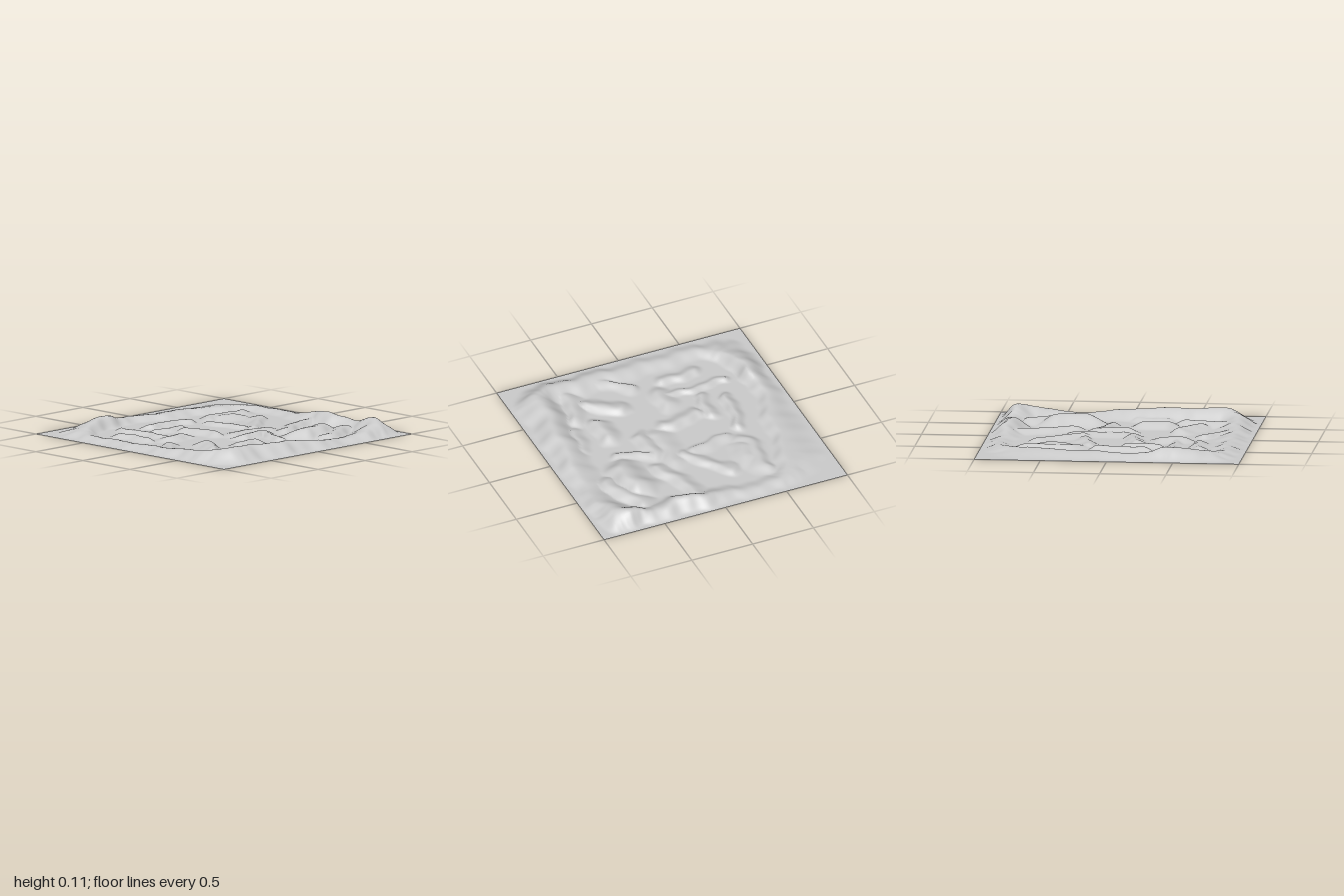
import * as THREE from 'three';

// Crest of the rim as x, height, z: along the front, up the right, across the back, down the left
const rimCrest = [
  -0.82, 0.07, 0.6, -0.74, 0.1, 0.77, -0.45, 0.09, 0.8, -0.2, 0.085, 0.83, 0.05, 0.065, 0.85,
  0.4, 0.03, 0.87, 0.78, 0.09, 0.83, 0.87, 0.11, 0.72, 0.87, 0.055, 0.52, 0.86, 0.09, 0.25,
  0.87, 0.03, -0.1, 0.86, 0.03, -0.5, 0.6, 0.04, -0.67, 0.1, 0.04, -0.77, -0.3, 0.05, -0.85,
  -0.45, 0.09, -0.81, -0.8, 0.04, -0.7, -0.85, 0.03, -0.1,
];

// Inner hills: height, reach, then the x, z points of the crest; the steep face is on the right
const backHills = [
  [0.03, 0.1, -0.61, -0.2, -0.63, -0.47],
  [0.025, 0.07, -0.43, -0.15, -0.45, -0.62],
  [0.035, 0.14, -0.48, -0.09, -0.34, -0.09],
  [0.035, 0.09, -0.24, -0.55, 0.1, -0.49],
  [0.03, 0.09, -0.34, -0.37, -0.1, -0.36],
  [0.035, 0.12, -0.09, 0, -0.13, -0.27],
  [0.025, 0.1, 0.2, -0.36, 0.24, -0.08],
  [0.033, 0.15, 0.66, -0.48, 0.3, -0.48],
  [0.035, 0.2, 0.4, -0.4, 0.5, -0.38],
  [0.03, 0.11, 0.3, 0.02, 0.5, -0.12, 0.6, -0.24],
];
const frontHills = [
  [0.025, 0.15, 0, 0.12, 0.32, 0.12],
  [0.035, 0.12, -0.05, 0.24, 0.18, 0.24],
  [0.03, 0.1, 0.16, 0.28, 0.11, 0.48],
  [0.03, 0.1, -0.64, 0.05, -0.78, 0.24],
  [0.04, 0.12, -0.57, 0.46, -0.41, 0.22],
  [0.04, 0.13, -0.72, 0.55, -0.44, 0.6],
  [0.045, 0.14, -0.3, 0.48, -0.12, 0.48],
  [0.03, 0.1, -0.31, 0.68, -0.08, 0.72],
  [0.035, 0.12, 0.36, 0.28, 0.78, 0.12],
  [0.08, 0.23, 0.3, 0.57, 0.52, 0.52],
  [0.045, 0.16, 0.4, 0.72, 0.72, 0.57],
];

const { clamp, lerp } = THREE.MathUtils;
const ease = (t) => t * t * (3 - 2 * t);

// Rim: the outer slope runs to the border, the inner slope is steeper at the back
function makeRim() {
  const points = [];
  for (let i = 0; i < rimCrest.length; i += 3) points.push(new THREE.Vector3().fromArray(rimCrest, i));
  return new THREE.CatmullRomCurve3(points, true).getPoints(72).map((p) => ({
    x: p.x, z: p.z, height: p.y,
    left: 0.14 + 0.06 * p.z,
    right: 0.98 - Math.max(Math.abs(p.x), Math.abs(p.z)),
  }));
}

// Hill: one long slope and one steep face
function makeHill([height, reach, ...xz]) {
  const line = [];
  for (let i = 0; i < xz.length; i += 2) {
    line.push({ x: xz[i], z: xz[i + 1], height, left: reach, right: reach * 0.6 });
  }
  return line;
}

// Height at (x, z) of the stretch of ridge between points a and b
function slope(x, z, a, b) {
  const dx = b.x - a.x, dz = b.z - a.z;
  const px = x - a.x, pz = z - a.z;
  const length = Math.hypot(dx, dz);
  const t = clamp((px * dx + pz * dz) / (length * length), 0, 1);
  const d = Math.hypot(px - t * dx, pz - t * dz);
  const side = (dx * pz - dz * px) / (length * Math.max(d, 1e-6));
  const width = lerp(lerp(a.left, b.left, t), lerp(a.right, b.right, t), 0.5 + 0.5 * side);
  return lerp(a.height, b.height, t) * ease(clamp(1 - d / width, 0, 1));
}

function heightAt(x, z, ridges) {
  // Gentle warp gives the crest lines a natural wander
  const wx = x + 0.014 * Math.sin(17 * z + 3 * x) + 0.006 * Math.sin(41 * z);
  const wz = z + 0.014 * Math.sin(15 * x - 4 * z) + 0.006 * Math.sin(37 * x + 1);
  let h = 0;
  for (const line of ridges) {
    for (let i = 1; i < line.length; i++) h = Math.max(h, slope(wx, wz, line[i - 1], line[i]));
  }
  // Level border around the outside
  const edge = (1 - Math.max(Math.abs(x), Math.abs(z))) / 0.04;
  return h * ease(clamp(edge, 0, 1));
}

export function createModel() {
  const group = new THREE.Group();
  group.name = 'landscape';

  // Square sheet raised into the rim and hills
  const ridges = [makeRim(), ...backHills.map(makeHill), ...frontHills.map(makeHill)];
  const geometry = new THREE.PlaneGeometry(2, 2, 140, 140).rotateX(-Math.PI / 2);
  const pos = geometry.attributes.position;
  for (let i = 0; i < pos.count; i++) pos.setY(i, heightAt(pos.getX(i), pos.getZ(i), ridges));
  geometry.computeVertexNormals();

  const terrain = new THREE.Mesh(
    geometry,
    new THREE.MeshStandardMaterial({ color: 0xcccccc, side: THREE.DoubleSide }),
  );
  terrain.name = 'terrain';
  group.add(terrain);
  return group;
}
